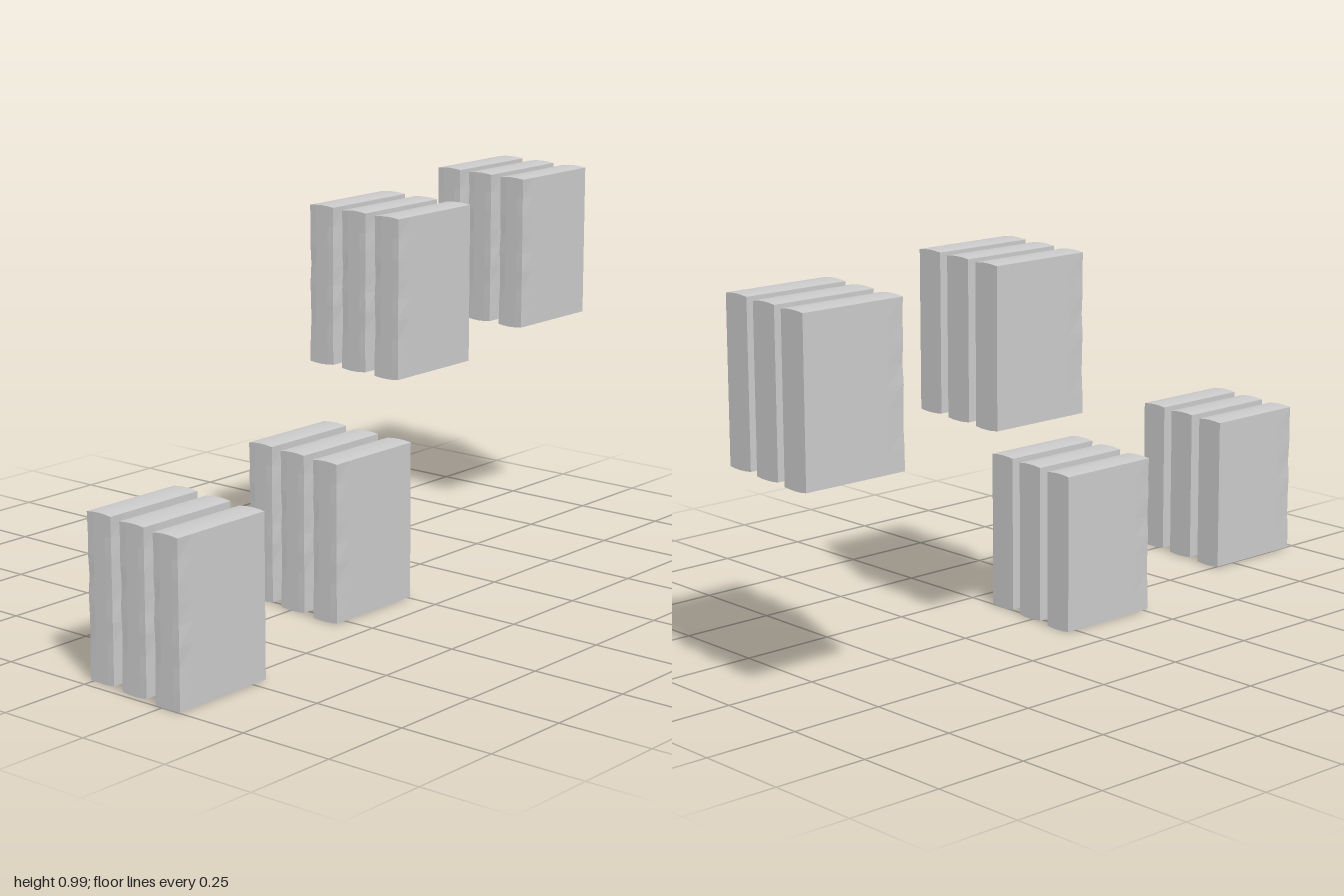
import * as THREE from 'three';

const W = 0.077, H = 0.409, D = 0.29;

// Upright slab: faintly crowned ends and slightly worn front corners
function slabGeometry() {
  const geo = new THREE.BoxGeometry(W, H, D, 4, 8, 6);
  const p = geo.attributes.position;
  for (let i = 0; i < p.count; i++) {
    const x = p.getX(i), y = p.getY(i), z = p.getZ(i);
    const onEnd = Math.abs(y) > H / 2 - 1e-4;
    const onSide = Math.abs(x) > W / 2 - 1e-4;
    const onFront = z > D / 2 - 1e-4;
    if (onEnd) {
      const crown = 1 - (2 * x / W) ** 2;
      p.setY(i, y + Math.sign(y) * 0.003 * crown);
    }
    if (onFront && onSide && !onEnd) {
      const wear = 0.001 * (1 + Math.sin(y * 47 + Math.sign(x)));
      p.setX(i, x - Math.sign(x) * wear);
      p.setZ(i, z - wear);
    }
  }
  geo.computeVertexNormals();
  return geo;
}

export function createModel() {
  const model = new THREE.Group();
  model.name = 'slabSets';
  const material = new THREE.MeshStandardMaterial({ color: 0xcccccc, flatShading: true });
  const geometry = slabGeometry();

  // Middle slab of each set of three
  const sets = [
    ['upperBackSet', -0.152, 0.782, -0.841],
    ['upperFrontSet', -0.009, 0.782, -0.131],
    ['lowerBackSet', 0.008, 0.208, 0.128],
    ['lowerFrontSet', 0.15, 0.208, 0.841],
  ];
  for (const [name, x, y, z] of sets) {
    const set = new THREE.Group();
    set.name = name;
    set.position.set(x, y, z);
    // Each slab steps sideways and a little forward
    for (let i = -1; i <= 1; i++) {
      const slab = new THREE.Mesh(geometry, material);
      slab.name = 'slab' + (i + 2);
      slab.position.set(i * 0.119, 0, i * 0.014);
      set.add(slab);
    }
    model.add(set);
  }
  return model;
}
